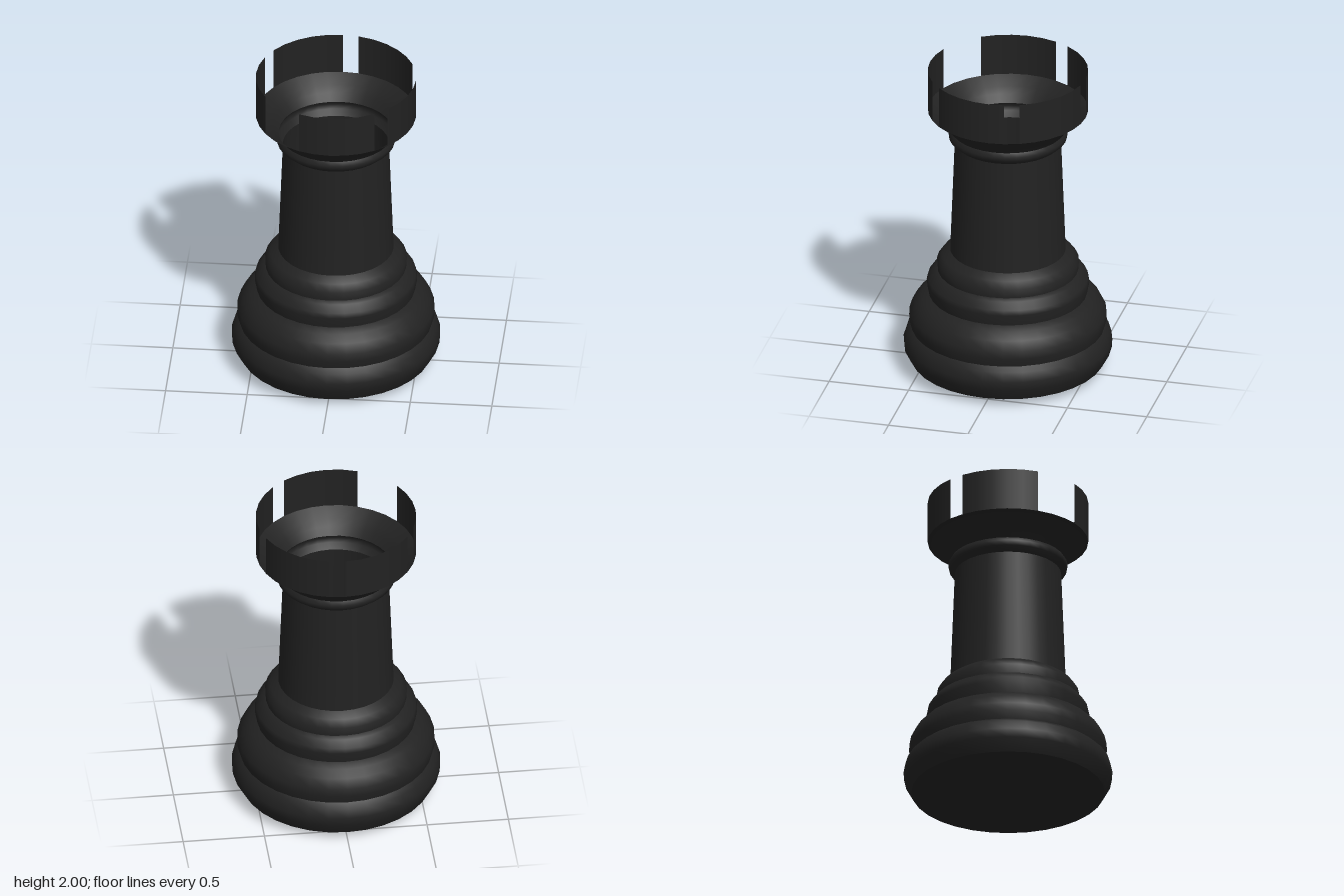
import * as THREE from 'three';

const SEGMENTS = 32;
const STEP = (Math.PI * 2) / SEGMENTS;

export function createModel() {
  const model = new THREE.Group();
  model.name = 'rook';
  const material = new THREE.MeshStandardMaterial({ color: 0x222222, side: THREE.DoubleSide });

  const add = (name, geometry, parent = model) => {
    const mesh = new THREE.Mesh(geometry, material);
    mesh.name = name;
    parent.add(mesh);
    return mesh;
  };

  // Turned sections as [radius, height], split where the surface has a sharp groove
  const sections = {
    underside: [[0, 0], [0.59, 0.05]],
    foot: [[0.59, 0.05], [0.634, 0.13], [0.638, 0.185], [0.62, 0.245], [0.59, 0.272]],
    lowerBead: [[0.59, 0.272], [0.604, 0.325], [0.602, 0.375], [0.572, 0.435], [0.53, 0.478], [0.484, 0.5]],
    middleBead: [[0.484, 0.5], [0.497, 0.57], [0.49, 0.602], [0.456, 0.645], [0.43, 0.658]],
    upperBead: [[0.43, 0.658], [0.434, 0.715], [0.402, 0.758], [0.353, 0.79]],
    shaft: [[0.353, 0.79], [0.325, 1.52]],
    collar: [[0.325, 1.52], [0.36, 1.55], [0.365, 1.58], [0.35, 1.605]],
    flare: [[0.35, 1.605], [0.385, 1.65], [0.42, 1.685], [0.49, 1.735]],
  };
  for (const [name, points] of Object.entries(sections)) {
    const profile = points.map(([r, y]) => new THREE.Vector2(r, y));
    add(name, new THREE.LatheGeometry(profile, SEGMENTS));
  }

  // Thin open battlements: each wall spans [first, last] segment, leaving the slots between
  const crown = new THREE.Group();
  crown.name = 'crown';
  model.add(crown);
  const walls = [[-2, 3], [4, 9], [10, 15], [16, 21], [22, 27]];
  walls.forEach(([from, to], i) => {
    const wall = new THREE.CylinderGeometry(
      0.49, 0.49, 0.265, to - from, 1, true, from * STEP, (to - from) * STEP);
    add(`battlement${i + 1}`, wall, crown).position.y = 1.8675;
  });

  return model;
}
